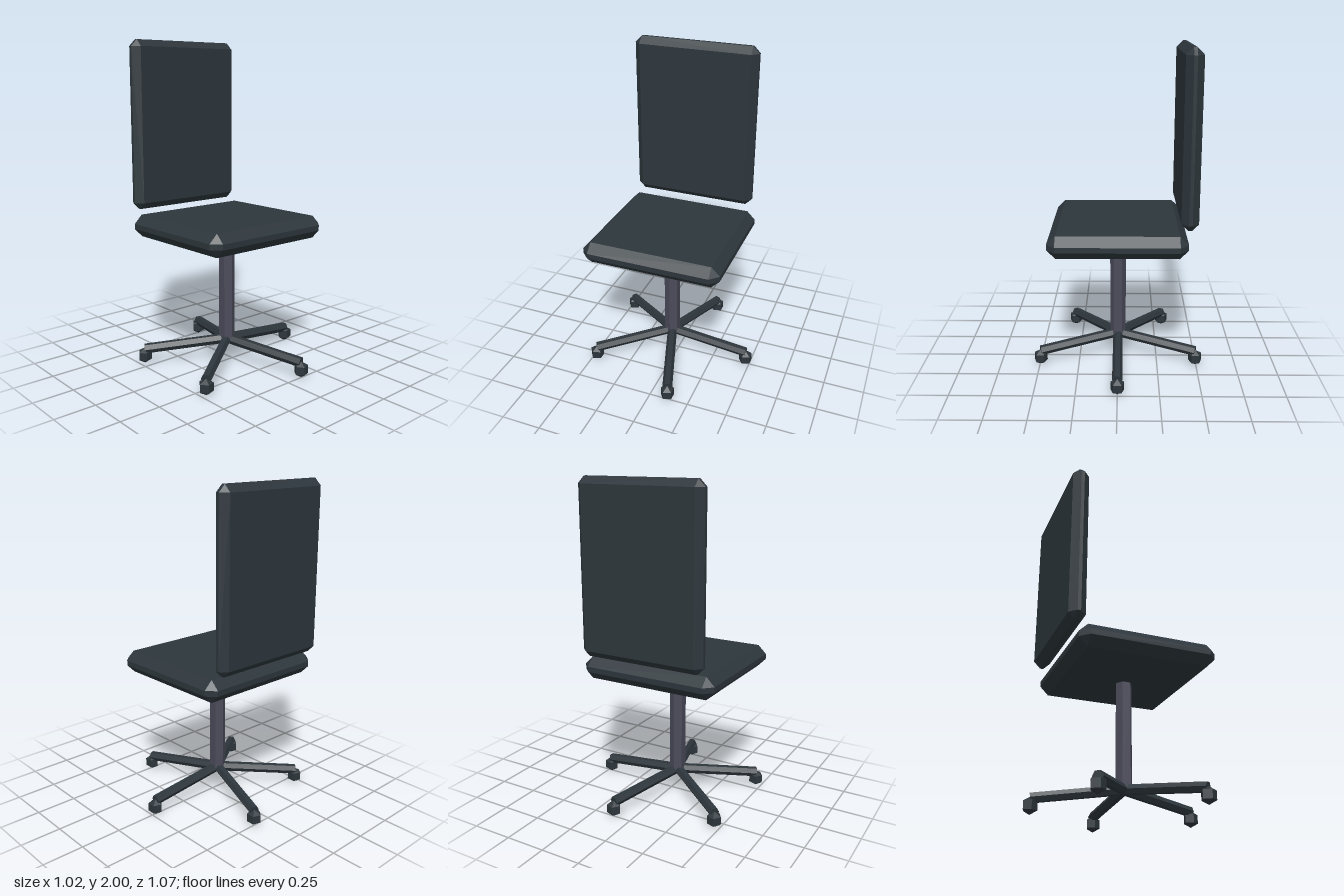
import * as THREE from 'three';
import { ConvexGeometry } from 'three/addons/geometries/ConvexGeometry.js';

// Box with every edge cut by one flat bevel
function bevelledBox(w, h, d, b) {
  const x = w / 2, y = h / 2, z = d / 2, points = [];
  for (const sx of [-1, 1]) for (const sy of [-1, 1]) for (const sz of [-1, 1]) {
    points.push(
      new THREE.Vector3(sx * x, sy * (y - b), sz * (z - b)),
      new THREE.Vector3(sx * (x - b), sy * y, sz * (z - b)),
      new THREE.Vector3(sx * (x - b), sy * (y - b), sz * z)
    );
  }
  return new ConvexGeometry(points);
}

export function createModel() {
  const group = new THREE.Group();
  const upholstery = new THREE.MeshStandardMaterial({ color: 0x2d363c, flatShading: true });
  upholstery.name = 'dark slate';
  const metal = new THREE.MeshStandardMaterial({ color: 0x4b4b5b, flatShading: true });
  metal.name = 'purple grey metal';
  const axisX = -0.045; // the post stands slightly off centre

  function add(name, geometry, material, x, y, z) {
    const mesh = new THREE.Mesh(geometry, material);
    mesh.name = name;
    mesh.position.set(x, y, z);
    group.add(mesh);
    return mesh;
  }

  // Cushions
  add('seat', bevelledBox(0.87, 0.137, 0.826, 0.052), upholstery, axisX, 0.872, 0);
  add('backrest', bevelledBox(0.794, 1.035, 0.102, 0.041), upholstery, axisX - 0.002, 1.4825, -0.418);

  // Hexagonal post
  add('post', new THREE.CylinderGeometry(0.05, 0.05, 0.637, 6), metal, axisX, 0.4665, 0);

  // Five sloping legs, each ending in a faceted caster
  const hubY = 0.147, tipY = 0.093, reach = 0.519;
  const length = Math.hypot(reach, hubY - tipY);
  const legGeometry = new THREE.CylinderGeometry(0.031, 0.031, length, 6);
  legGeometry.rotateZ(-Math.PI / 2 - Math.atan2(hubY - tipY, reach));
  legGeometry.translate(reach / 2, (hubY + tipY) / 2, 0);
  const casterGeometry = new THREE.SphereGeometry(0.05, 5, 3);
  for (let i = 0; i < 5; i++) {
    const a = (i * Math.PI * 2) / 5;
    add('leg' + (i + 1), legGeometry, upholstery, axisX, 0, 0).rotation.y = a;
    add('caster' + (i + 1), casterGeometry, upholstery,
      axisX + reach * Math.cos(a), 0.05, -reach * Math.sin(a));
  }
  return group;
}
